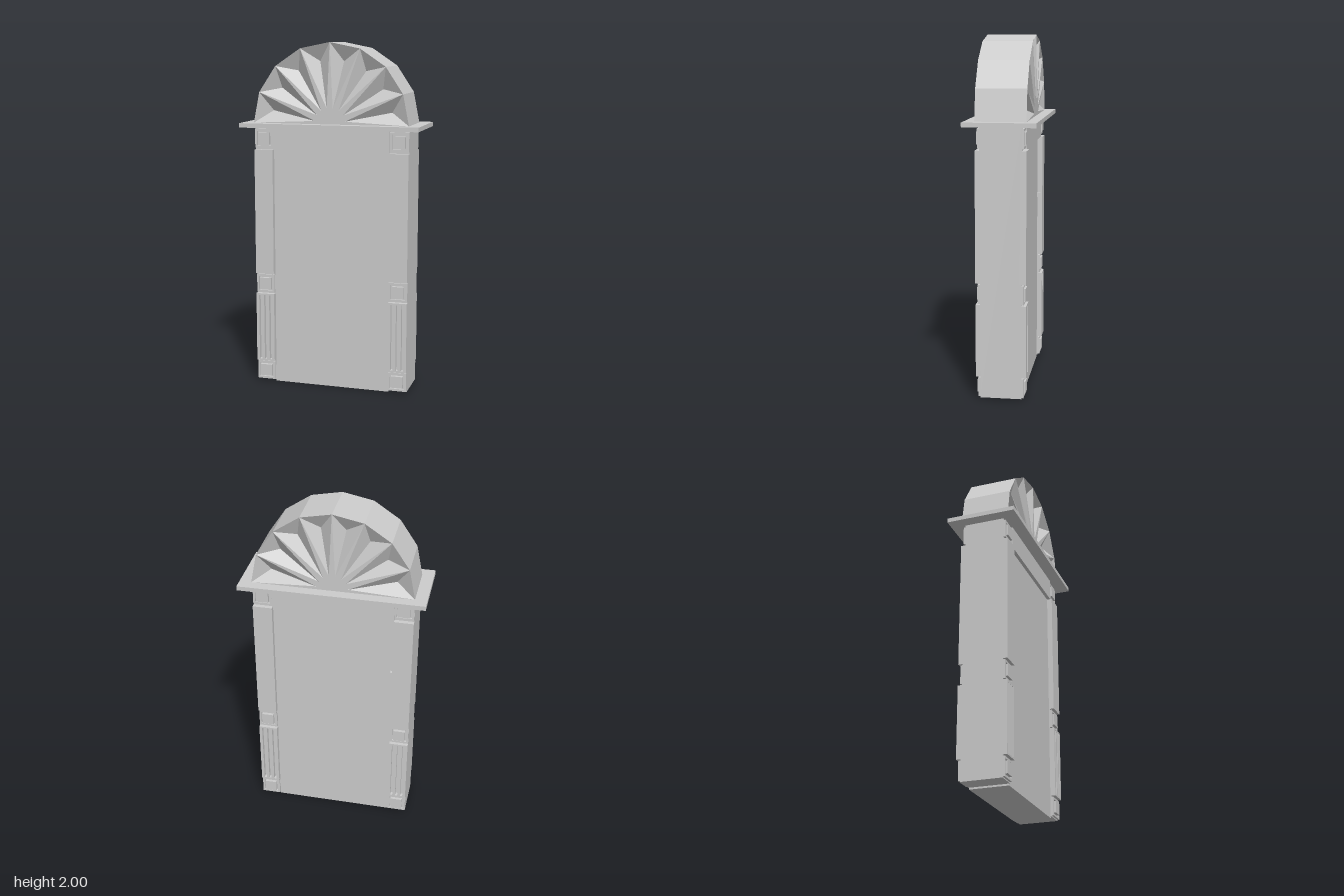
import * as THREE from 'three';

const material = new THREE.MeshStandardMaterial({ color: 0xcccccc, flatShading: true, side: THREE.DoubleSide });

// Box given by its limits on each axis
function box(parent, name, x0, x1, y0, y1, z0, z1) {
  const mesh = new THREE.Mesh(new THREE.BoxGeometry(x1 - x0, y1 - y0, z1 - z0), material);
  mesh.position.set((x0 + x1) / 2, (y0 + y1) / 2, (z0 + z1) / 2);
  mesh.name = name;
  parent.add(mesh);
  return mesh;
}

const IN = 0.343, OUT = 0.453, CORE = 0.115, FACE = 0.14;

// Square frame with a sunken centre, on the pilaster core
function rosetteBlock(parent, y0, y1) {
  const square = (P, x, y, h) => {
    const p = new P();
    p.moveTo(x - h, y - h);
    p.lineTo(x + h, y - h);
    p.lineTo(x + h, y + h);
    p.lineTo(x - h, y + h);
    p.closePath();
    return p;
  };
  const cx = (IN + OUT) / 2, cy = (y0 + y1) / 2;
  const frame = square(THREE.Shape, cx, cy, 0.054);
  frame.holes.push(square(THREE.Path, cx, cy, 0.042));
  const outer = new THREE.Mesh(new THREE.ExtrudeGeometry(frame, { depth: 0.012, bevelEnabled: false }), material);
  outer.position.z = CORE;
  outer.name = 'blockFrame';
  parent.add(outer);
  box(parent, 'blockPanel', cx - 0.034, cx + 0.034, cy - 0.034, cy + 0.034, CORE, 0.135);
}

// Front half of one pilaster on the +x side
function pilasterFace() {
  const g = new THREE.Group();
  g.name = 'pilasterFace';
  for (const [y0, y1] of [[0.01, 0.13], [0.54, 0.66], [1.39, 1.52]]) rosetteBlock(g, y0, y1);
  box(g, 'upperShaft', IN, OUT, 0.66, 1.39, CORE - 0.01, FACE);
  // Fluted lower shaft: ribs closed by a band at each end
  const ribs = 4, ribWidth = 0.017, step = (OUT - IN - ribWidth) / (ribs - 1);
  for (let i = 0; i < ribs; i++) {
    const x = IN + i * step;
    box(g, 'fluteRib', x, x + ribWidth, 0.14, 0.53, CORE - 0.01, FACE);
  }
  box(g, 'fluteBand', IN, OUT, 0.13, 0.14, CORE - 0.01, FACE);
  box(g, 'fluteBand', IN, OUT, 0.53, 0.54, CORE - 0.01, FACE);
  return g;
}

// Half-round pediment with kite-shaped hollows radiating on its face
const R = 0.453, BASE = 1.545, SEGMENTS = 8;
function polar(radius, step, z) {
  const a = (step / SEGMENTS) * Math.PI;
  return [radius * Math.cos(a), BASE + (R + 0.002) / R * radius * Math.sin(a), z];
}
function facets(name, triangles) {
  const geometry = new THREE.BufferGeometry();
  geometry.setAttribute('position', new THREE.Float32BufferAttribute(triangles.flat(2), 3));
  geometry.computeVertexNormals();
  const mesh = new THREE.Mesh(geometry, material);
  mesh.name = name;
  return mesh;
}
function fanFace() {
  const centre = [0, BASE, FACE], t = [];
  const rim = (i) => polar(R, i, FACE);
  const tip = (i) => polar(0.09, i + 0.5, FACE);
  for (let i = 0; i < SEGMENTS; i++) {
    const deep = polar(0.355, i + 0.5, FACE - 0.05);
    t.push([rim(i), rim(i + 1), deep], [rim(i), deep, tip(i)], [rim(i + 1), tip(i), deep]);
    if (i > 0) t.push([rim(i), tip(i), tip(i - 1)], [centre, tip(i - 1), tip(i)]);
  }
  t.push([centre, rim(0), tip(0)], [centre, tip(SEGMENTS - 1), rim(SEGMENTS)]);
  return facets('fanFace', t);
}
function archBand() {
  const t = [];
  for (let i = 0; i < SEGMENTS; i++) {
    const a = polar(R, i, FACE), b = polar(R, i + 1, FACE);
    const c = polar(R, i + 1, -FACE), d = polar(R, i, -FACE);
    t.push([a, d, c], [a, c, b]);
  }
  return facets('archBand', t);
}

export function createModel() {
  const model = new THREE.Group();
  model.name = 'archedCase';

  // Case, frieze and cornice
  box(model, 'doorPanel', -IN, IN, 0, 1.52, -0.11, 0.11);
  box(model, 'frieze', -IN, IN, 1.39, 1.52, -0.13, 0.13);
  box(model, 'cornice', -0.52, 0.52, 1.52, 1.545, -0.2, 0.2);
  box(model, 'pilasterCore', IN, OUT, 0.01, 1.52, -CORE, CORE);
  box(model, 'pilasterCore', -OUT, -IN, 0.01, 1.52, -CORE, CORE);

  // The same pilasters and fan on front and back
  for (const turn of [0, Math.PI]) {
    const side = new THREE.Group();
    side.name = turn ? 'backFace' : 'frontFace';
    const left = pilasterFace(), right = pilasterFace();
    right.position.x = -(IN + OUT);
    side.add(left, right, fanFace());
    side.rotation.y = turn;
    model.add(side);
  }
  model.add(archBand());

  // Small catch on the back
  box(model, 'catch', -IN, -IN + 0.012, 1.02, 1.045, -0.13, -0.11);
  return model;
}
